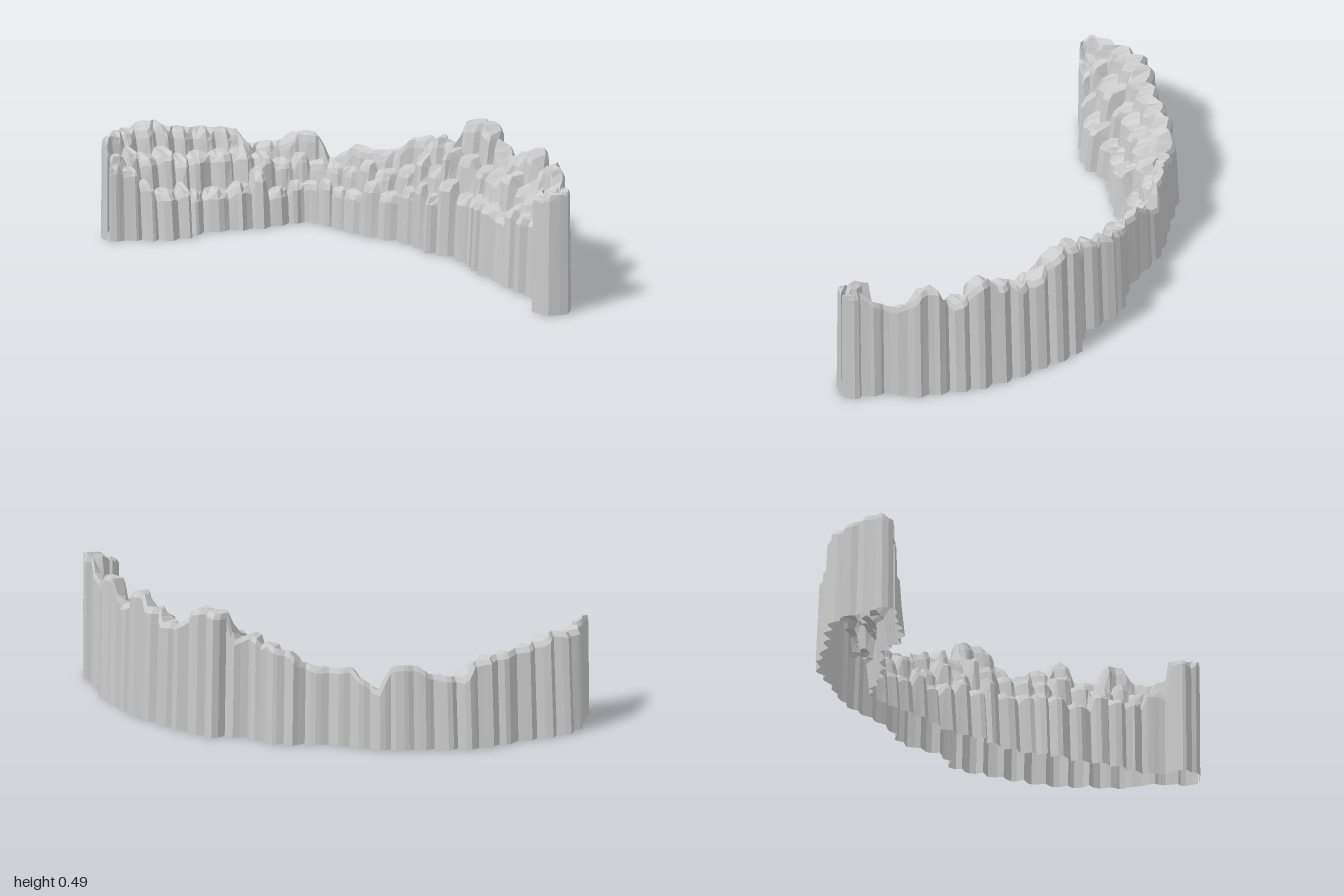
import * as THREE from 'three';

// Paired outlines from the back tip to the front tip: outer [x, z], inner [x, z, step height]
const OUTER = [
  [-0.46, -0.905], [-0.45, -0.94], [-0.38, -0.96], [-0.24, -0.995], [-0.14, -0.95], [-0.03, -0.86],
  [0.06, -0.81], [0.15, -0.73], [0.21, -0.62], [0.27, -0.52], [0.31, -0.43], [0.325, -0.3],
  [0.36, -0.17], [0.415, -0.08], [0.4, 0.03], [0.4, 0.13], [0.445, 0.21], [0.415, 0.34],
  [0.365, 0.49], [0.305, 0.62], [0.235, 0.71], [0.15, 0.82], [0.06, 0.87], [0.01, 0.93],
  [-0.025, 0.98], [-0.065, 1],
];
const INNER = [
  [-0.46, -0.895, 0.3], [-0.45, -0.88, 0.3], [-0.4, -0.835, 0.28], [-0.33, -0.75, 0.19], [-0.25, -0.69, 0.18],
  [-0.15, -0.68, 0.14], [-0.06, -0.6, 0.16], [0.03, -0.53, 0.2], [0.13, -0.485, 0.14], [0.19, -0.43, 0.16],
  [0.19, -0.36, 0.16], [0.19, -0.27, 0.18], [0.19, -0.15, 0.2], [0.21, -0.05, 0.2], [0.205, 0.05, 0.22],
  [0.18, 0.13, 0.22], [0.19, 0.2, 0.27], [0.17, 0.33, 0.25], [0.115, 0.42, 0.28], [0.08, 0.55, 0.28],
  [0.03, 0.65, 0.3], [0.01, 0.76, 0.32], [-0.03, 0.84, 0.38], [-0.13, 0.89, 0.47], [-0.12, 0.96, 0.48],
  [-0.07, 1, 0.48],
];
// Crest line of the outer columns: [z, height]
const SKYLINE = [
  [-1, 0.385], [-0.97, 0.405], [-0.95, 0.4], [-0.93, 0.375], [-0.86, 0.36], [-0.78, 0.34], [-0.75, 0.33],
  [-0.73, 0.275], [-0.66, 0.285], [-0.6, 0.295], [-0.58, 0.325], [-0.5, 0.335], [-0.47, 0.31], [-0.43, 0.215],
  [-0.39, 0.26], [-0.34, 0.28], [-0.32, 0.31], [-0.24, 0.3], [-0.19, 0.3], [-0.13, 0.32], [-0.1, 0.36],
  [-0.05, 0.37], [0, 0.39], [0.03, 0.37], [0.05, 0.41], [0.1, 0.4], [0.13, 0.375], [0.15, 0.41],
  [0.17, 0.48], [0.26, 0.495], [0.31, 0.48], [0.33, 0.44], [0.4, 0.4], [0.46, 0.4], [0.49, 0.44],
  [0.55, 0.44], [0.57, 0.48], [0.62, 0.485], [0.65, 0.42], [0.7, 0.4], [0.73, 0.43], [0.74, 0.485],
  [0.8, 0.485], [0.83, 0.43], [0.86, 0.4], [0.92, 0.44], [0.94, 0.485], [1, 0.485],
];
const COLUMNS = 32, SUB = 4, STATIONS = COLUMNS * SUB;
const { lerp, clamp } = THREE.MathUtils;

const curve = (keys) => new THREE.CatmullRomCurve3(keys.map(([x, z, h = 0]) => new THREE.Vector3(x, h, z)));
const outer = curve(OUTER), inner = curve(INNER);

// Repeatable noise in -1..1 for a column in a row
function noise(a, b) {
  const v = Math.sin(a * 127.1 + b * 311.7) * 43758.5453;
  return (v - Math.floor(v)) * 2 - 1;
}

function skyline(z) {
  const n = clamp(SKYLINE.findIndex((p) => p[0] >= z), 1, SKYLINE.length - 1);
  const [z0, h0] = SKYLINE[n - 1], [z1, h1] = SKYLINE[n];
  return lerp(h0, h1, clamp((z - z0) / (z1 - z0), 0, 1));
}

// Outer and inner outline at a station, evenly spaced along the cliff with a little jitter
function outlineAt(k) {
  const jitter = k > 0 && k < STATIONS ? 0.3 * noise(k, 30) : 0;
  const t = outer.getUtoTmapping(clamp((k + jitter) / STATIONS, 0, 1));
  return [outer.getPoint(t), inner.getPoint(t)];
}

// Top of one rock column in the stepped rows, flat over its whole width
function columnHeight(row, c) {
  const [o, i] = outlineAt((c + 0.5) * SUB - 2 * row);
  return lerp(skyline(o.z), i.y, row === 1 ? 0.45 : 1) + 0.025 * noise(c, row);
}

// Row height and groove depth at a station; rows are staggered like bricks
function rowAt(row, k) {
  const n = k + 2 * row, c = Math.floor(n / SUB), f = n % SUB;
  const joint = f === 0;
  const stepHeight = () => (joint ? Math.min(columnHeight(row, c), columnHeight(row, c - 1)) - 0.01 : columnHeight(row, c));
  return {
    h: row === 0 ? skyline(outlineAt(k)[0].z) : stepHeight(),
    groove: joint ? 0.08 + 0.03 * noise(c, row + 12) : f === 2 ? -0.03 : 0.01 + 0.02 * noise(k, row + 9),
  };
}

// Cross-section: up the outer cliff, over the crest and down the steps inside
function section(k) {
  const [o, i] = outlineAt(k);
  const [a, b, c] = [0, 1, 2].map((row) => rowAt(row, k));
  const e0 = a.groove, e1 = 0.38 - a.groove, e2 = 0.7 - b.groove, e3 = 1 - c.groove;
  const tilt = 0.01 * (1 + noise(k, 20));
  const profile = [
    [e0 - 0.03, 0], [e0 + 0.03, a.h - 0.02], [e0 + 0.09, a.h],
    [e1 - 0.06, a.h - tilt], [e1, a.h - 0.035],
    [e1 + 0.05, b.h], [e2 - 0.06, b.h - tilt], [e2, b.h - 0.03],
    [e2 + 0.05, c.h], [e3 - 0.1, c.h - tilt], [e3 - 0.03, c.h - 0.03],
    [e3 + 0.03, 0],
  ];
  return profile.map(([t, y]) => new THREE.Vector3(lerp(o.x, i.x, t), y, lerp(o.z, i.z, t)));
}

// Loft a band of the cross-sections between two profile points
function band(name, sections, from, to, material) {
  const pos = [];
  const tri = (...pts) => pts.forEach((p) => pos.push(p.x, p.y, p.z));
  for (let k = 0; k < sections.length - 1; k++) {
    for (let j = from; j < to; j++) {
      const p = sections[k], q = sections[k + 1];
      tri(p[j], p[j + 1], q[j]);
      tri(q[j], p[j + 1], q[j + 1]);
    }
  }
  const geo = new THREE.BufferGeometry();
  geo.setAttribute('position', new THREE.Float32BufferAttribute(pos, 3));
  geo.computeVertexNormals();
  const mesh = new THREE.Mesh(geo, material);
  mesh.name = name;
  return mesh;
}

export function createModel() {
  const group = new THREE.Group();
  group.name = 'curvedCliff';
  // The rock is a shell with an open underside
  const rock = new THREE.MeshStandardMaterial({ color: 0xcccccc, flatShading: true, side: THREE.DoubleSide });
  const sections = Array.from({ length: STATIONS + 1 }, (_, k) => section(k));
  group.add(
    band('outerCliff', sections, 0, 2, rock),
    band('crest', sections, 2, 4, rock),
    band('middleTerrace', sections, 4, 7, rock),
    band('lowerTerrace', sections, 7, 11, rock),
  );
  return group;
}
